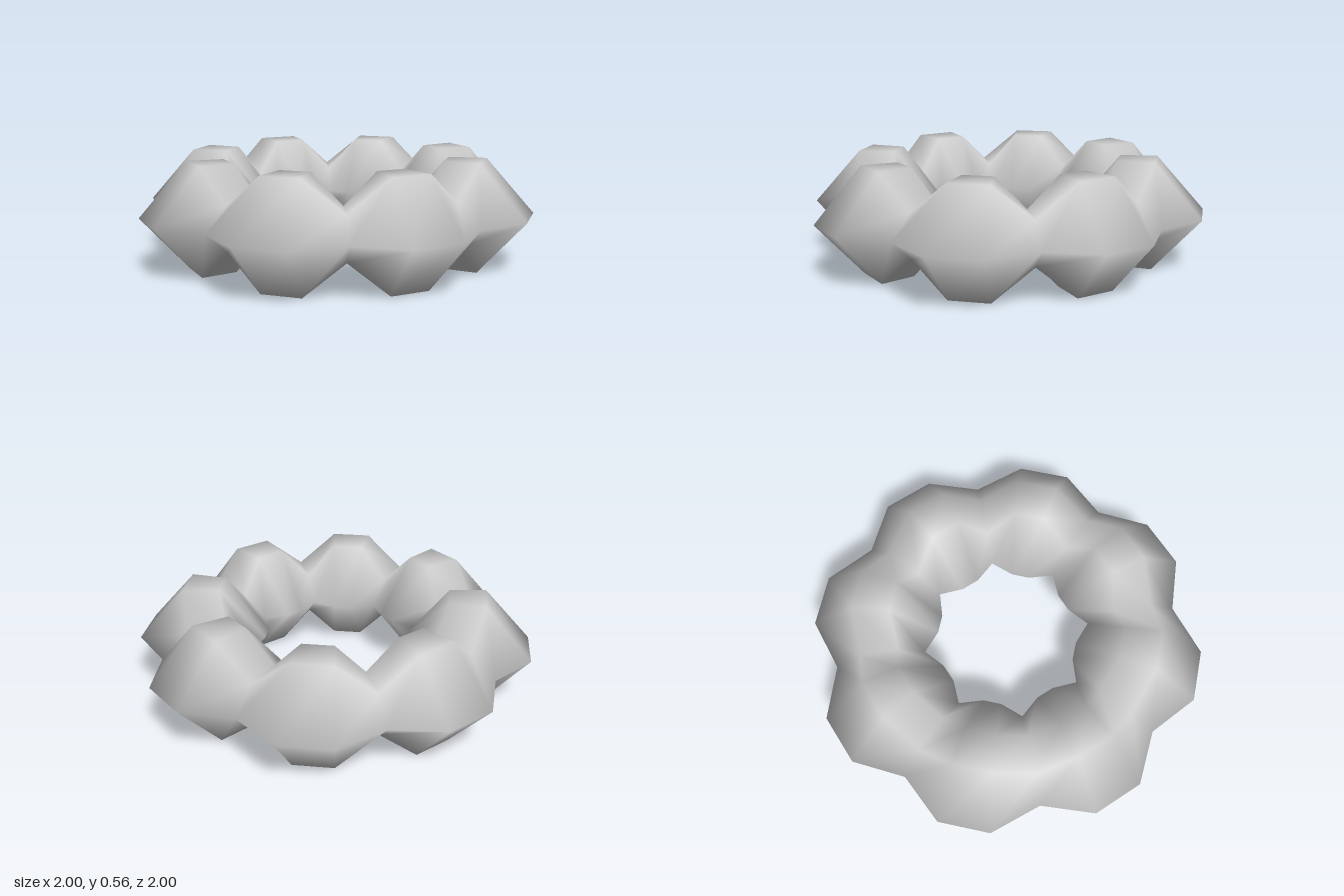
import * as THREE from 'three';

const LOBES = 8;
const RINGS = LOBES * 3;
const MID_Y = 0.2775;

// Hexagonal cross-sections as [radius, height from the middle], outer edge first, going up and inwards
const section = (outer, topOuter, topInner, inner, h) => [
  [outer, 0], [topOuter, h], [topInner, h], [inner, 0], [topInner, -h], [topOuter, -h],
];
const NECK = section(0.912, 0.775, 0.575, 0.442, 0.1125);
const BULGE = section(1.036, 0.79, 0.6, 0.37, 0.2775);

export function createModel() {
  const group = new THREE.Group();
  group.name = 'beadedRing';

  // Each lobe has a narrow neck followed by two wide rings
  const positions = [], indices = [];
  const sides = NECK.length;
  for (let i = 0; i < RINGS; i++) {
    const a = (i / RINGS) * Math.PI * 2;
    const profile = i % 3 === 0 ? NECK : BULGE;
    const next = (i + 1) % RINGS;
    profile.forEach(([r, y], j) => {
      positions.push(r * Math.sin(a), MID_Y + y, r * Math.cos(a));
      const k = (j + 1) % sides;
      const p = i * sides + j, q = next * sides + j;
      const s = next * sides + k, t = i * sides + k;
      indices.push(p, q, s, p, s, t);
    });
  }

  // Closed, smooth-shaded ring
  const geometry = new THREE.BufferGeometry();
  geometry.setAttribute('position', new THREE.Float32BufferAttribute(positions, 3));
  geometry.setIndex(indices);
  geometry.computeVertexNormals();

  const ring = new THREE.Mesh(geometry, new THREE.MeshStandardMaterial({ color: 0xcccccc }));
  ring.name = 'lobedRing';
  group.add(ring);
  return group;
}
